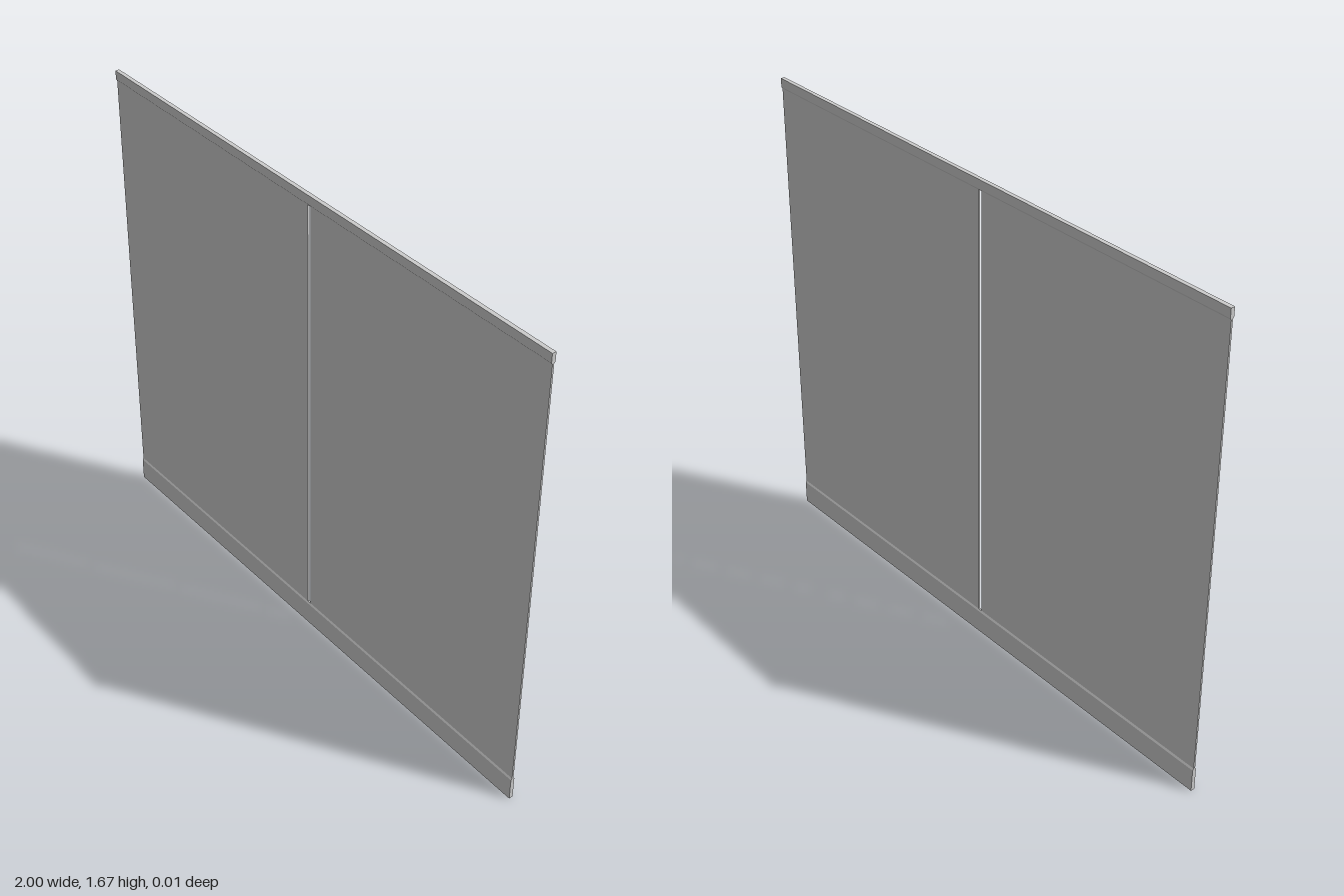
import * as THREE from 'three';

const RAIL_HALF = 0.007;   // half thickness of the clamping rails
const GLASS_HALF = 0.003;  // half thickness of the panes
const GAP = 0.007;         // half width of the slot between panes
const HEIGHT = 1.67;

export function createModel() {
  const model = new THREE.Group();
  model.name = 'glassPartition';
  const material = new THREE.MeshStandardMaterial({ color: 0xcccccc });

  // Rail section (z across, y up), bevelled towards the pane, swept along x
  function rail(name, yOuter, yInner, x0, x1) {
    const bevel = Math.sign(yOuter - yInner) * 0.006;
    const points = [
      [-RAIL_HALF, yOuter], [RAIL_HALF, yOuter], [RAIL_HALF, yInner + bevel],
      [GLASS_HALF, yInner], [-GLASS_HALF, yInner], [-RAIL_HALF, yInner + bevel],
    ].map(([z, y]) => new THREE.Vector2(z, y));
    const geometry = new THREE.ExtrudeGeometry(new THREE.Shape(points), {
      depth: x1 - x0, bevelEnabled: false,
    });
    geometry.rotateY(Math.PI / 2).translate(x0, 0, 0);
    const mesh = new THREE.Mesh(geometry, material);
    mesh.name = name;
    return mesh;
  }

  // Two mirrored bays, rails butting together at the centre
  for (const [side, s] of [['left', 1], ['right', -1]]) {
    const bay = new THREE.Group();
    bay.name = side + 'Bay';
    const x0 = s > 0 ? 0 : -1;

    const pane = new THREE.Mesh(
      new THREE.BoxGeometry(1 - GAP, HEIGHT - 0.04, GLASS_HALF * 2), material);
    pane.position.set(s * (1 + GAP) / 2, HEIGHT / 2, 0);
    pane.name = side + 'Pane';

    bay.add(
      pane,
      rail(side + 'BottomRail', 0, 0.088, x0, x0 + 1),
      rail(side + 'TopRail', HEIGHT, 1.634, x0, x0 + 1),
    );
    model.add(bay);
  }
  return model;
}
